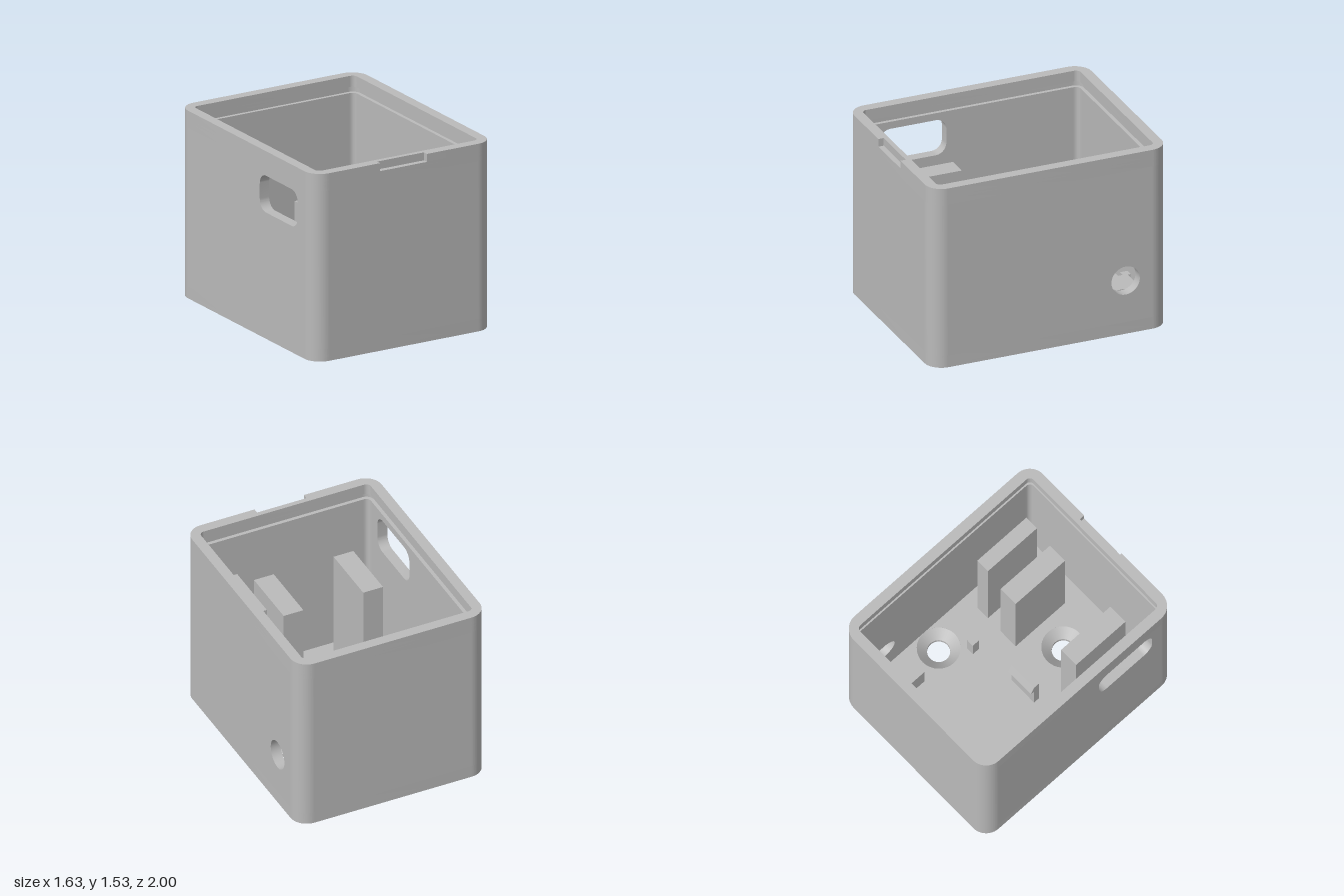
import * as THREE from 'three';
import { toCreasedNormals } from 'three/addons/utils/BufferGeometryUtils.js';

const HX = 0.815, HZ = 1, R = 0.14, WALL = 0.085; // outer half sizes, corner radius, wall
const IX = HX - WALL, IZ = HZ - WALL, IR = 0.04;  // inner cavity
const FLOOR = 0.1, GROOVE = 1.39, TOP = 1.53;

export function createModel() {
  const model = new THREE.Group();
  const grey = new THREE.MeshStandardMaterial({ color: 0xbababa });
  grey.name = 'grey plastic';
  const greyOpen = grey; // all surfaces share one colour
  greyOpen.side = THREE.DoubleSide;

  const add = (name, geo, x = 0, y = 0, z = 0) => {
    const mesh = new THREE.Mesh(geo, grey);
    mesh.name = name;
    mesh.position.set(x, y, z);
    model.add(mesh);
    return mesh;
  };

  const extrude = (shape, depth) => toCreasedNormals(
    new THREE.ExtrudeGeometry(shape, { depth, bevelEnabled: false, curveSegments: 16 }), 0.5);

  // plan shapes use (x, -z) and rise along y
  const slab = (name, shape, y0, y1) =>
    add(name, extrude(shape, y1 - y0).rotateX(-Math.PI / 2), 0, y0, 0);

  const roundRect = (path, hx, hz, r, notch) => {
    path.moveTo(-hx + r, -hz);
    if (notch) {
      const [a, b, d] = notch;
      path.lineTo(a, -hz).lineTo(a, -hz + d).lineTo(b, -hz + d).lineTo(b, -hz);
    }
    path.lineTo(hx - r, -hz);
    path.absarc(hx - r, -hz + r, r, -Math.PI / 2, 0, false);
    path.absarc(hx - r, hz - r, r, 0, Math.PI / 2, false);
    path.absarc(-hx + r, hz - r, r, Math.PI / 2, Math.PI, false);
    path.absarc(-hx + r, -hz + r, r, Math.PI, Math.PI * 1.5, false);
    return path;
  };
  const circle = (x, y, r) => new THREE.Path().absarc(x, y, r, 0, Math.PI * 2, true);

  // floor in two layers with countersunk screw holes
  const screws = [[0.56, -0.21], [-0.09, 0.5]];
  const layers = [[0, 0.03, 0.09], [0.03, FLOOR, 0.17]];
  for (const [y0, y1, r] of layers) {
    const s = roundRect(new THREE.Shape(), HX, HZ, R);
    for (const [x, z] of screws) s.holes.push(circle(x, -z, r));
    slab('floor', s, y0, y1);
  }
  for (const [x, z] of screws) {
    const cone = [new THREE.Vector2(0.09, 0.03), new THREE.Vector2(0.17, FLOOR)];
    add('countersink', new THREE.LatheGeometry(cone, 40), x, 0, z);
  }

  // wall corners
  const c = new THREE.Shape();
  const w = R - WALL;
  c.moveTo(R, 0);
  c.absarc(0, 0, R, 0, Math.PI / 2, false);
  c.lineTo(0, w).lineTo(w - IR, w);
  c.absarc(w - IR, w - IR, IR, Math.PI / 2, 0, true);
  c.lineTo(w, 0);
  const cornerGeo = extrude(c, GROOVE - FLOOR).rotateX(-Math.PI / 2);
  [[1, -1], [-1, -1], [-1, 1], [1, 1]].forEach(([sx, sz], k) => {
    add('wallCorner', cornerGeo, sx * (HX - R), FLOOR, sz * (HZ - R)).rotation.y = k * Math.PI / 2;
  });

  // flat walls: side walls are drawn in (-z, y)
  const panel = (half) => new THREE.Shape([
    [-half, FLOOR], [half, FLOOR], [half, GROOVE], [-half, GROOVE],
  ].map(([u, v]) => new THREE.Vector2(u, v)));

  const endWall = extrude(panel(HX - R), WALL);
  add('frontWall', endWall, 0, 0, IZ);
  add('backWall', endWall, 0, 0, -HZ);

  const leftWall = panel(HZ - R);
  leftWall.holes.push(circle(0.635, 0.455, 0.12)); // cable hole
  add('leftWall', extrude(leftWall, WALL).rotateY(Math.PI / 2), IX);

  const rightWall = panel(HZ - R);
  const slot = roundRect(new THREE.Path(), 0.28, 0.15, 0.09).getPoints(10)
    .map((p) => new THREE.Vector2(p.x - 0.48, p.y + 1.18));
  rightWall.holes.push(new THREE.Path(slot)); // connector slot
  add('rightWall', extrude(rightWall, WALL).rotateY(Math.PI / 2), -HX);

  // rim: lid groove, plain band, and top band with the front opening notch
  const rim = [
    ['lidGroove', GROOVE, 1.44, 0.03],
    ['rimBand', 1.44, 1.465, 0],
    ['rimTop', 1.465, TOP, 0, [-0.215, 0.21, 0.045]],
  ];
  for (const [name, y0, y1, d, notch] of rim) {
    const s = roundRect(new THREE.Shape(), HX, HZ, R, notch);
    s.holes.push(roundRect(new THREE.Path(), IX + d, IZ + d, IR + d));
    slab(name, s, y0, y1);
  }

  // supports standing on the floor: x0, x1, z0, z1, top
  const block = (name, x0, x1, z0, z1, top) => add(name,
    new THREE.BoxGeometry(x1 - x0, top - FLOOR, z1 - z0),
    (x0 + x1) / 2, (FLOOR + top) / 2, (z0 + z1) / 2);
  block('tallSupport', -0.52, -0.35, 0.235, 0.755, 1.055);
  block('tallSupport', 0.165, 0.335, 0.235, 0.755, 1.055);
  block('stopBlock', 0.48, 0.6, 0.235, 0.755, 1.16);
  block('lowSupport', 0.435, 0.67, -0.815, -0.475, 0.31);

  // small board posts
  for (const x of [-0.66, 0.375])
    for (const z of [-0.825, -0.02])
      block('boardPost', x - 0.032, x + 0.032, z - 0.032, z + 0.032, 0.29);

  // locating peg on its boss
  const peg = (name, r, y0, y1) => add(name,
    new THREE.CylinderGeometry(r, r, y1 - y0, 32), -0.305, (y0 + y1) / 2, -0.735);
  peg('pegBase', 0.11, FLOOR, 0.29);
  peg('peg', 0.057, 0.29, 0.395);

  // snap clips facing each other
  const hook = new THREE.Shape([
    [0, FLOOR], [0.052, FLOOR], [0.052, 0.34], [0.085, 0.35], [0.052, 0.43], [0, 0.43],
  ].map(([u, v]) => new THREE.Vector2(u, v)));
  add('backClip', extrude(hook, 0.255).rotateY(-Math.PI / 2), -0.015, 0, -0.918);
  add('frontClip', extrude(hook, 0.255).rotateY(Math.PI / 2), -0.27, 0, 0.075);

  return model;
}
